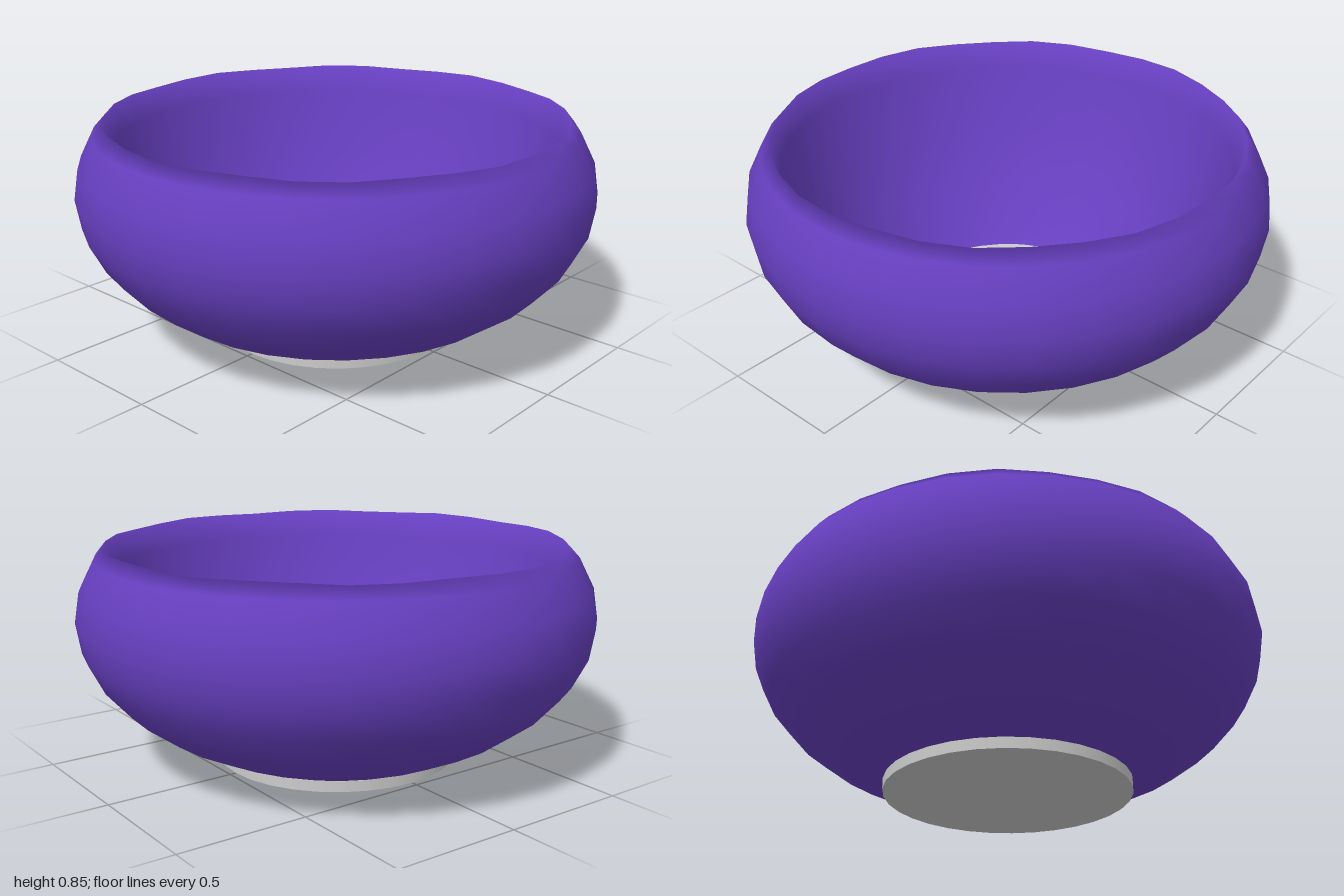
import * as THREE from 'three';

const SIDES = 32;
const STEP = (Math.PI * 2) / SIDES;

// Points of an elliptical arc, from step a to step b above the equator
function arc(radius, height, centreY, a, b) {
  const points = [];
  const dir = Math.sign(b - a);
  for (let k = a; k !== b + dir; k += dir) {
    points.push(new THREE.Vector2(radius * Math.cos(k * STEP), centreY + height * Math.sin(k * STEP)));
  }
  return points;
}

export function createModel() {
  const model = new THREE.Group();

  // Bowl: squashed outer ball, thin rim, and a steep inside that narrows to the foot
  const profile = [
    new THREE.Vector2(0.472, 0.042),
    ...arc(1, 0.6, 0.575, -5, 2),
    new THREE.Vector2(0.885, 0.85),
    ...arc(0.926, 1.47, 1.307, -2, -5),
    new THREE.Vector2(0.472, 0.042),
  ];
  const bowlGeometry = new THREE.LatheGeometry(profile, SIDES);

  // Slightly uneven rim
  const position = bowlGeometry.attributes.position;
  for (let i = 0; i < position.count; i++) {
    const y = position.getY(i);
    if (y < 0.84) continue;
    const angle = Math.atan2(position.getX(i), position.getZ(i));
    position.setY(i, y + 0.004 * Math.sin(angle * 9));
  }

  const bowl = new THREE.Mesh(
    bowlGeometry,
    new THREE.MeshStandardMaterial({ color: 0x663fbf, side: THREE.DoubleSide }),
  );
  bowl.name = 'bowl';
  model.add(bowl);

  // Flat foot, which also closes the bottom of the bowl
  const foot = new THREE.Mesh(
    new THREE.CylinderGeometry(0.475, 0.475, 0.042, SIDES),
    new THREE.MeshStandardMaterial({ color: 0xcccccc }),
  );
  foot.name = 'foot';
  foot.position.y = 0.021;
  model.add(foot);

  return model;
}
